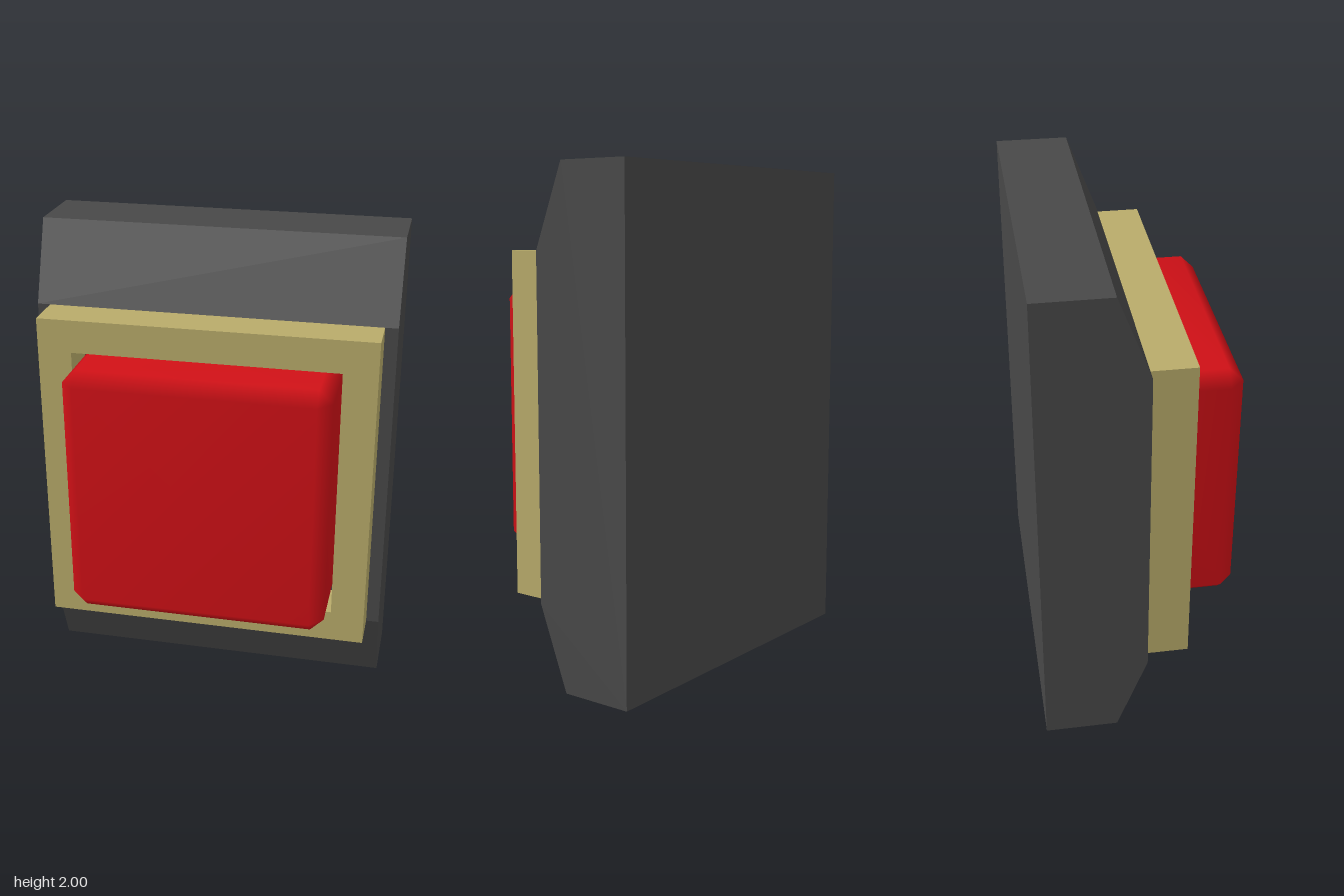
import * as THREE from 'three';

const paint = (color) => new THREE.MeshStandardMaterial({ color });

function part(name, geometry, color) {
  const mesh = new THREE.Mesh(geometry, paint(color));
  mesh.name = name;
  return mesh;
}

function rectangle(path, x, y0, y1) {
  path.moveTo(-x, y0);
  path.lineTo(x, y0);
  path.lineTo(x, y1);
  path.lineTo(-x, y1);
  path.closePath();
  return path;
}

// Back plate: side profile (z, y) with sloped top and bottom, extruded across x
function backPlate() {
  const profile = [[-0.405, 0], [-0.11, 0], [0.015, 0.33], [0.015, 1.675], [-0.11, 2], [-0.405, 2]];
  const shape = new THREE.Shape(profile.map(([z, y]) => new THREE.Vector2(z, y)));
  const geometry = new THREE.ExtrudeGeometry(shape, { depth: 1.466, bevelEnabled: false });
  return geometry.rotateY(-Math.PI / 2).translate(0.733, 0, 0);
}

// Square frame with a through opening
function frame() {
  const shape = rectangle(new THREE.Shape(), 0.68, 0.33, 1.675);
  shape.holes.push(rectangle(new THREE.Path(), 0.542, 0.465, 1.54));
  return new THREE.ExtrudeGeometry(shape, { depth: 0.175, bevelEnabled: false }).translate(0, 0, 0.015);
}

// Button cap: two octagonal rings closed by a smaller square face, smooth-shaded
function buttonCap() {
  const a = 0.53, b = 0.475;
  const octagon = [[a, -b], [a, b], [b, a], [-b, a], [-a, b], [-a, -b], [-b, -a], [b, -a]];
  const square = [[b, -b], [b, b], [-b, b], [-b, -b]];
  const positions = [], index = [];
  for (const z of [0.016, 0.35]) octagon.forEach(([x, y]) => positions.push(x, y, z));
  square.forEach(([x, y]) => positions.push(x, y, 0.405));
  for (let i = 0; i < 8; i++) {
    const j = (i + 1) % 8;
    index.push(i, j, 8 + j, i, 8 + j, 8 + i);
  }
  for (let i = 0; i < 4; i++) {
    const p = 8 + 2 * i, q = p + 1, r = 8 + (2 * i + 2) % 8;
    const s = 16 + i, t = 16 + (i + 1) % 4;
    index.push(p, q, t, p, t, s); // bevelled edge
    index.push(q, r, t); // bevelled corner
  }
  index.push(16, 17, 18, 16, 18, 19);
  const geometry = new THREE.BufferGeometry();
  geometry.setAttribute('position', new THREE.Float32BufferAttribute(positions, 3));
  geometry.setIndex(index);
  geometry.computeVertexNormals();
  return geometry.translate(0, 1.004, 0);
}

export function createModel() {
  const model = new THREE.Group();
  model.name = 'pushButton';
  model.add(
    part('backPlate', backPlate(), 0x484848),
    part('frame', frame(), 0xb8ab6a),
    part('buttonCap', buttonCap(), 0xd01016),
  );
  return model;
}
